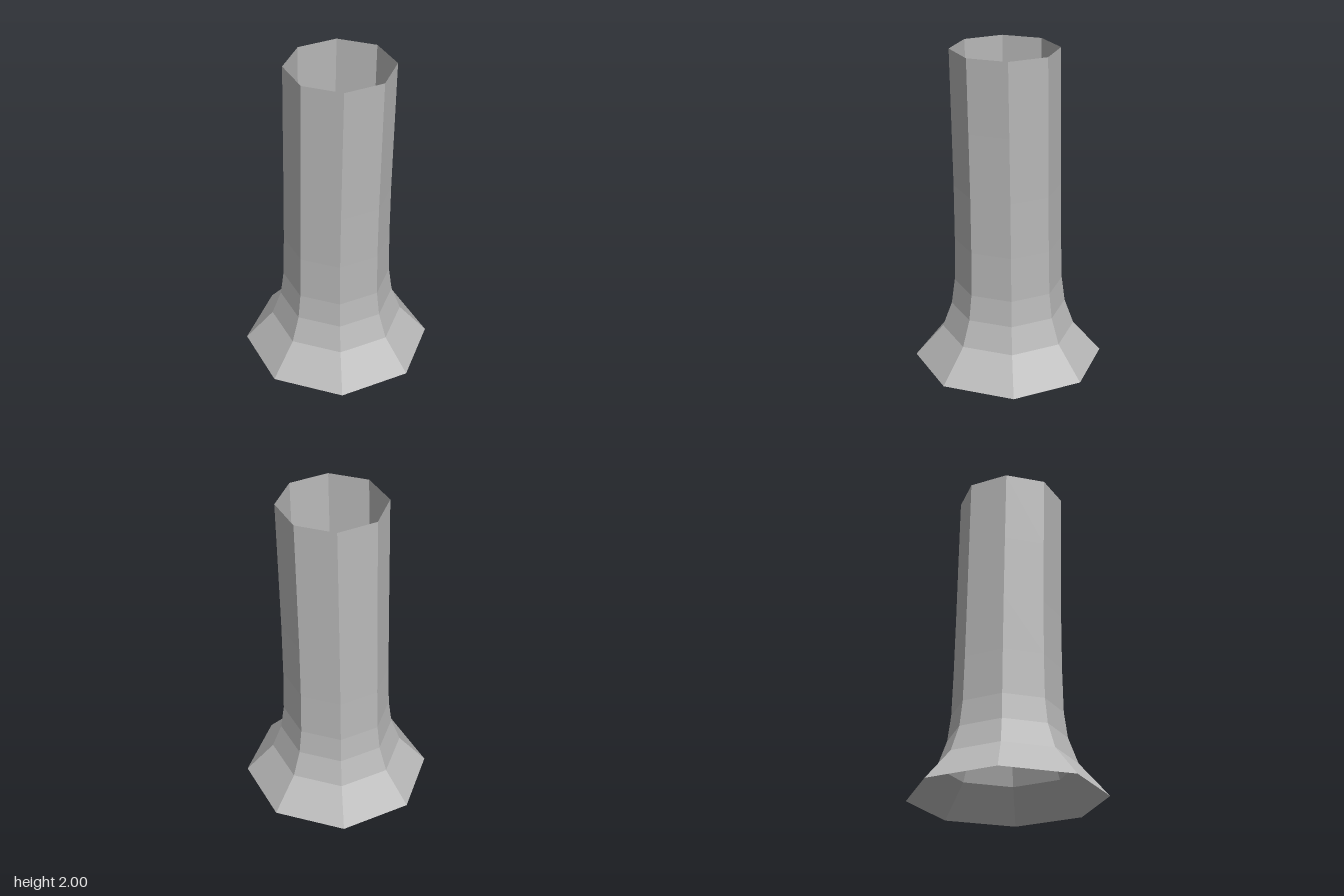
import * as THREE from 'three';

// Wall profile as [radius, height, sideways drift of the ring centre]
const RINGS = [
  [0.59, 0, 0],
  [0.415, 0.2, 0],
  [0.357, 0.36, 0],
  [0.336, 0.52, 0],
  [0.329, 0.8, 0.003],
  [0.326, 1.15, 0.009],
  [0.326, 1.55, 0.018],
  [0.326, 2, 0.029],
];

export function createModel() {
  const model = new THREE.Group();
  model.name = 'flaredTube';

  const grey = new THREE.MeshStandardMaterial({
    color: 0xb8b8b8,
    flatShading: true,
    side: THREE.DoubleSide,
  });
  grey.name = 'plain grey';

  // Open eight-sided tube with a flared foot
  const profile = RINGS.map(([r, y]) => new THREE.Vector2(r, y));
  const lathe = new THREE.LatheGeometry(profile, 8);

  // Lean the upper rings gently towards +x
  const pos = lathe.attributes.position;
  for (let i = 0; i < pos.count; i++) {
    pos.setX(i, pos.getX(i) + RINGS[i % RINGS.length][2]);
  }
  const geometry = lathe.toNonIndexed();
  geometry.computeVertexNormals();

  const tube = new THREE.Mesh(geometry, grey);
  tube.name = 'tubeWall';
  model.add(tube);
  return model;
}
